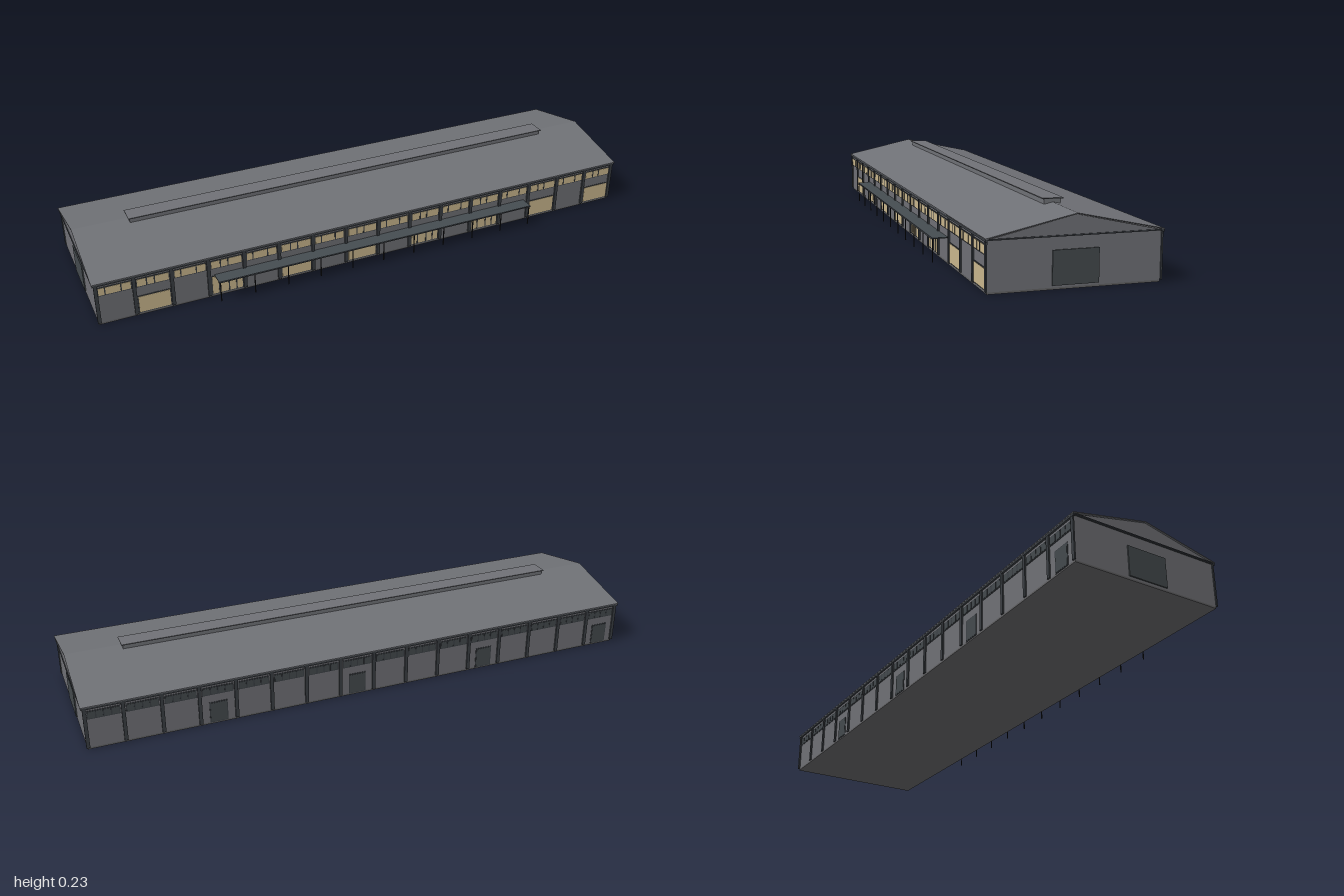
import * as THREE from 'three';

const mat = (name, color) => {
  const m = new THREE.MeshStandardMaterial({ color });
  m.name = name;
  return m;
};

export function createModel() {
  const wallGrey = mat('wall grey', 0x6e6f74);
  const roofGrey = mat('roof grey', 0x6f7176);
  const trim = mat('dark trim', 0x393d42);
  const doorGrey = mat('door slate', 0x43494c);
  const canopyGrey = mat('canopy slate', 0x454c51);
  const lit = mat('warm window', 0xc9b68c);
  const slabGrey = mat('foundation', 0x626264);
  const black = mat('post black', 0x1c1d1f);

  const model = new THREE.Group();
  model.name = 'warehouse';

  // box given by its min and max on each axis
  const box = (name, m, x0, x1, y0, y1, z0, z1, parent = model) => {
    const mesh = new THREE.Mesh(new THREE.BoxGeometry(x1 - x0, y1 - y0, z1 - z0), m);
    mesh.position.set((x0 + x1) / 2, (y0 + y1) / 2, (z0 + z1) / 2);
    mesh.name = name;
    parent.add(mesh);
    return mesh;
  };
  const group = (name) => {
    const g = new THREE.Group();
    g.name = name;
    model.add(g);
    return g;
  };

  const front = 0.24, back = -0.28, ridge = -0.02, half = 0.99;
  const eave = 0.157, top = 0.215;

  // extrudes a (z, y) outline along x, centred
  const alongX = (name, m, points, length) => {
    const shape = new THREE.Shape(points.map(([z, y]) => new THREE.Vector2(-z, y)));
    const geo = new THREE.ExtrudeGeometry(shape, { depth: length, bevelEnabled: false });
    geo.translate(0, 0, -length / 2).rotateY(Math.PI / 2);
    const mesh = new THREE.Mesh(geo, m);
    mesh.name = name;
    model.add(mesh);
  };

  // body
  box('foundation', slabGrey, -half, half, 0, 0.006, back, front);
  box('walls', wallGrey, -half, half, 0.006, 0.153, back, front);
  alongX('gables', wallGrey, [[front, 0.153], [ridge, 0.211], [back, 0.153]], 2 * half + 0.012);

  // roof sheet, ridge and eaves
  alongX('roof', roofGrey, [
    [front + 0.007, eave - 0.003], [front + 0.007, eave], [ridge, top], [back - 0.007, eave],
    [back - 0.007, eave - 0.003], [ridge, top - 0.003]], 2);
  for (const [name, z0, z1] of [['frontEave', front, front + 0.006], ['backEave', back - 0.006, back]])
    box(name, trim, -0.998, 0.998, 0.147, 0.155, z0, z1);
  for (const s of [-1, 1]) {
    const x = s * 0.996;
    box('gableBand', trim, x - 0.003, x + 0.003, 0.151, 0.155, back - 0.004, front + 0.004);
  }

  // ridge vent with cap
  box('ridgeVent', roofGrey, -0.81, 0.81, 0.2, 0.225, -0.045, 0.007);
  box('ridgeVentCap', roofGrey, -0.815, 0.815, 0.225, 0.228, -0.051, 0.013);

  // bay columns
  const bays = 16, pitch = (2 * half) / bays;
  const columns = group('columns');
  for (let i = 0; i <= bays; i++) {
    const x = THREE.MathUtils.clamp(-half + i * pitch, -half + 0.002, half - 0.002);
    box('frontColumn', trim, x - 0.006, x + 0.006, 0.007, 0.15, front, front + 0.005, columns);
    box('backColumn', trim, x - 0.006, x + 0.006, 0.007, 0.15, back - 0.005, back, columns);
  }

  // framed opening with mullions; s is +1 on the front wall and -1 on the back
  const opening = (name, pane, x, w, y0, y1, s, mullions, parent) => {
    const face = s > 0 ? front : back;
    const plate = (n, m, x0, x1, a, b, d) =>
      box(n, m, x0, x1, a, b, Math.min(face, face + s * d), Math.max(face, face + s * d), parent);
    const f = 0.003;
    plate(name + 'Frame', trim, x - w / 2 - f, x + w / 2 + f, y0 - f, y1 + f, 0.0015);
    plate(name, pane, x - w / 2, x + w / 2, y0, y1, 0.0025);
    for (const t of mullions)
      plate(name + 'Mullion', trim, x + t * w - 0.002, x + t * w + 0.002, y0, y1, 0.0035);
  };

  const windows = group('windows'), doors = group('doors');
  const doubleDoors = [3, 9, 11];
  for (let i = 0; i < bays; i++) {
    const x = -half + (i + 0.5) * pitch;
    // high windows on both sides
    opening('frontWindow', lit, x, 0.104, 0.11, 0.136, 1, i % 2 ? [-0.2, 0.05] : [-0.3, 0.2], windows);
    opening('backWindow', doorGrey, x, 0.1, 0.112, 0.136, -1, [-0.25, 0, 0.25], windows);
    // shopfronts in every second bay
    if (i % 2) {
      const split = doubleDoors.includes(i);
      opening('shopfront', lit, x, 0.104, 0.011, split ? 0.077 : 0.07, 1, split ? [-0.28, 0.05, 0.3] : [], doors);
    }
    // service doors in every fourth bay
    if (i % 4 === 0) opening('serviceDoor', doorGrey, x, 0.056, 0.008, 0.078, -1, [], doors);
  }

  // large gable doors
  for (const s of [-1, 1]) {
    const x = s * half;
    box('gableDoor', doorGrey, x - 0.004, x + 0.004, 0.012, 0.113, -0.09, 0.05);
  }

  // front canopy on thin posts
  const canopy = group('canopy');
  box('canopyRoof', canopyGrey, -0.6, 0.6, 0.081, 0.084, front, 0.29, canopy);
  box('canopyEdge', trim, -0.6, 0.6, 0.079, 0.084, 0.287, 0.29, canopy);
  for (let i = 0; i <= 10; i++) {
    const x = -0.595 + i * 0.119;
    box('canopyPost', black, x - 0.0015, x + 0.0015, 0.007, 0.081, 0.286, 0.289, canopy);
  }
  return model;
}
